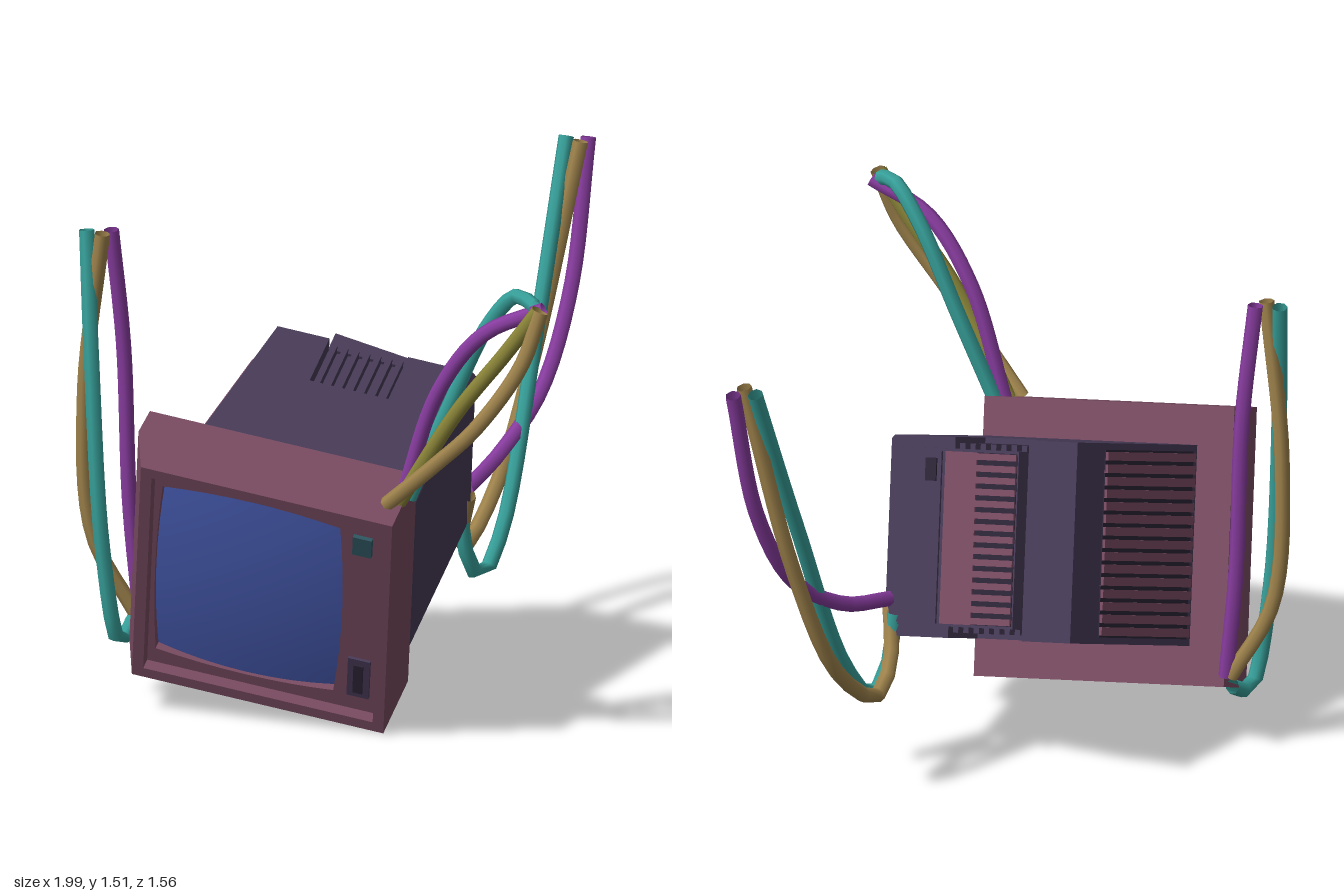
import * as THREE from 'three';

const paint = (color, flat = true, side = THREE.FrontSide) =>
  new THREE.MeshStandardMaterial({ color, flatShading: flat, side });
const DARK = paint(0x463a56), PLUM = paint(0x774a60), DEEP = paint(0x2c2436), TEALBOX = paint(0x2f5560);
const CABLE = {
  gold: paint(0x9f834c, false, THREE.DoubleSide),
  olive: paint(0x8a8438, false, THREE.DoubleSide),
  teal: paint(0x37a09a, false, THREE.DoubleSide),
  purple: paint(0x883c9f, false, THREE.DoubleSide),
};

function add(parent, name, geometry, material) {
  const mesh = new THREE.Mesh(geometry, material);
  mesh.name = name;
  parent.add(mesh);
  return mesh;
}

// Box given by its minimum and maximum corners
function box(parent, name, a, b, material) {
  const mesh = add(parent, name, new THREE.BoxGeometry(b[0] - a[0], b[1] - a[1], b[2] - a[2]), material);
  mesh.position.set((a[0] + b[0]) / 2, (a[1] + b[1]) / 2, (a[2] + b[2]) / 2);
  return mesh;
}

const polygon = (pts) => new THREE.Shape(pts.map(([x, y]) => new THREE.Vector2(x, y)));
const rect = (x0, x1, y0, y1) => polygon([[x0, y0], [x1, y0], [x1, y1], [x0, y1]]);

// Extrusion of a shape between two depths
function slab(shape, z0, z1) {
  const g = new THREE.ExtrudeGeometry(shape, { depth: z1 - z0, bevelEnabled: false, curveSegments: 8 });
  return g.translate(0, 0, z0);
}

// Extrusion along y of a profile given as (x, distance behind the front)
const prism = (pts, halfLength) => slab(polygon(pts), -halfLength, halfLength).rotateX(-Math.PI / 2)
  .applyMatrix4(new THREE.Matrix4());

// The vented wall leans inward toward the rear
const ventWall = (z) => -0.33 + 0.095 * (-z - 0.24) / 0.63;
function leanWall(g) {
  const p = g.attributes.position;
  for (let i = 0; i < p.count; i++) if (p.getX(i) < -0.2) p.setX(i, ventWall(p.getZ(i)));
  g.computeVertexNormals();
  return g;
}

function buildFront(m) {
  // Frame: open ring in front, solid block behind, flared hood on one side
  const ring = rect(-0.4, 0.4, -0.425, 0.425);
  ring.holes.push(rect(-0.365, 0.365, -0.39, 0.39));
  add(m, 'frameRing', slab(ring, -0.08, 0), PLUM);
  box(m, 'frameBlock', [-0.4, -0.425, -0.25], [0.4, 0.425, -0.08], PLUM);
  add(m, 'frameHood', prism([[-0.4, 0], [-0.4, 0.25], [-0.45, 0.25], [-0.455, 0.15]], 0.425), PLUM);

  // Inset bezel with a bowed screen opening
  const bezel = rect(-0.365, 0.365, -0.39, 0.39);
  const hole = new THREE.Path();
  hole.moveTo(-0.34, -0.335);
  hole.quadraticCurveTo(-0.05, -0.375, 0.225, -0.335);
  hole.quadraticCurveTo(0.26, 0, 0.225, 0.33);
  hole.quadraticCurveTo(-0.05, 0.37, -0.34, 0.33);
  hole.quadraticCurveTo(-0.365, 0, -0.34, -0.335);
  bezel.holes.push(hole);
  add(m, 'screenBezel', slab(bezel, -0.08, -0.04), PLUM);

  // Bulging screen
  const g = new THREE.PlaneGeometry(0.61, 0.72, 12, 12);
  const p = g.attributes.position;
  for (let i = 0; i < p.count; i++) {
    const a = p.getX(i) / 0.305, b = p.getY(i) / 0.36;
    p.setZ(i, 0.045 * (1 - 0.5 * a * a - 0.5 * b * b));
  }
  g.computeVertexNormals();
  add(m, 'screen', g, paint(0x4a5fb8, false)).position.set(-0.055, 0, -0.075);

  // Controls beside the screen
  box(m, 'indicator', [0.27, 0.25, -0.04], [0.33, 0.32, -0.025], TEALBOX);
  box(m, 'controlPanel', [0.27, -0.33, -0.04], [0.34, -0.18, -0.03], DARK);
  box(m, 'controlSlot', [0.29, -0.31, -0.03], [0.32, -0.2, -0.024], DEEP);
}

function buildHousing(m) {
  // Main housing, with the two far edges slightly chamfered
  const main = polygon([[-0.3, -0.305], [0.386, -0.305], [0.396, -0.293], [0.396, 0.293], [0.386, 0.305], [-0.3, 0.305]]);
  add(m, 'housing', leanWall(slab(main, -0.67, -0.22)), DARK);

  // Rear section, notched on both sides for the grip recesses
  const half = [[-0.3, 0.305], [-0.07, 0.305], [-0.07, 0.26], [0.18, 0.26], [0.18, 0.305], [0.386, 0.305], [0.396, 0.293]];
  const rear = polygon([...half, ...half.map(([x, y]) => [x, -y]).reverse()]);
  add(m, 'rearHousing', leanWall(slab(rear, -0.87, -0.67)), DARK);
  for (const s of [-1, 1]) {
    for (let i = 0; i < 7; i++) {
      const rib = box(m, 'gripRib', [-0.06, 0.25, -0.862], [-0.042, 0.288, -0.675], DARK);
      rib.position.x += i * 0.035;
      rib.position.y *= s;
    }
  }

  // Louvred panel on the leaning wall
  const lean = Math.atan(0.095 / 0.63);
  const vents = new THREE.Group();
  vents.name = 'wallVents';
  vents.position.set(ventWall(-0.5), 0, -0.5);
  vents.rotation.y = -lean;
  m.add(vents);
  box(vents, 'ventBack', [-0.004, -0.285, -0.23], [0.01, 0.285, 0.23], DEEP);
  for (let i = 0; i < 15; i++) {
    const y = -0.266 + i * 0.038;
    box(vents, 'ventSlat', [-0.014, y - 0.013, -0.23], [0.01, y + 0.013, 0.23], PLUM);
  }
}

function buildRear(m) {
  // Sloping connector block on the back
  add(m, 'rearBlock', prism([[-0.07, 0.86], [0.39, 0.86], [0.39, 0.872], [-0.07, 0.935]], 0.27), DARK);

  // Panels lying on the slope
  const panel = new THREE.Group();
  panel.name = 'rearPanel';
  panel.position.set(-0.07, 0, -0.935);
  panel.rotation.y = -Math.atan(0.063 / 0.46);
  m.add(panel);
  box(panel, 'plainPanel', [0.15, -0.262, -0.008], [0.265, 0.262, 0.01], PLUM);
  box(panel, 'slotBack', [0.005, -0.262, -0.002], [0.15, 0.262, 0.01], DEEP);
  for (let i = 0; i < 15; i++) {
    const y = -0.25 + i * 0.0357;
    box(panel, 'rearSlat', [0.005, y - 0.01, -0.009], [0.15, y + 0.01, 0.01], PLUM);
  }
  box(panel, 'sidePanel', [0.28, -0.262, -0.007], [0.455, 0.262, 0.01], DARK);
  box(panel, 'socket', [0.295, 0.17, -0.012], [0.335, 0.24, 0], DEEP);
}

// Hanging cables: colour, then path points
const CABLES = {
  frontCable: [
    ['gold', [-0.52, 0.82, 0.34], [-0.47, 0.98, 0.51], [-0.42, 1.11, 0.63], [-0.32, 1.31, 0.725], [-0.26, 1.48, 0.75]],
    ['olive', [-0.48, 0.82, 0.35], [-0.4, 1.14, 0.53], [-0.32, 1.33, 0.65], [-0.26, 1.48, 0.74]],
    ['teal', [-0.43, 0.82, 0.34], [-0.34, 1.11, 0.42], [-0.27, 1.38, 0.52], [-0.24, 1.495, 0.62], [-0.24, 1.48, 0.7]],
    ['purple', [-0.46, 0.82, 0.34], [-0.4, 1.18, 0.44], [-0.33, 1.38, 0.57], [-0.22, 1.47, 0.72]],
  ],
  sideCable: [
    ['purple', [-0.71, 1.48, -0.7], [-0.665, 1.1, -0.695], [-0.65, 0.6, -0.685], [-0.63, 0.25, -0.66]],
    ['gold', [-0.755, 1.48, -0.69], [-0.77, 0.95, -0.755], [-0.74, 0.5, -0.75], [-0.64, 0.25, -0.67]],
    ['teal', [-0.765, 1.48, -0.75], [-0.8, 1.1, -0.69], [-0.8, 0.5, -0.64], [-0.73, 0.18, -0.64], [-0.64, 0.22, -0.68]],
  ],
  rearCable: [
    ['purple', [0.29, 0.55, -0.2], [0.5, 0.61, -0.27], [0.7, 0.75, -0.315], [0.86, 1.03, -0.36], [0.975, 1.47, -0.41]],
    ['gold', [0.27, 0.54, -0.17], [0.32, 0.38, -0.26], [0.42, 0.31, -0.34], [0.6, 0.46, -0.4], [0.76, 0.83, -0.415], [0.92, 1.475, -0.385]],
    ['teal', [0.28, 0.51, -0.22], [0.3, 0.34, -0.215], [0.36, 0.25, -0.215], [0.46, 0.37, -0.23], [0.7, 0.93, -0.34], [0.92, 1.475, -0.45]],
  ],
};

export function createModel() {
  const model = new THREE.Group();
  model.name = 'hangingMonitor';

  // Monitor built facing +z, then tipped into its hanging pose
  const monitor = new THREE.Group();
  monitor.name = 'monitor';
  buildFront(monitor);
  buildHousing(monitor);
  buildRear(monitor);
  const right = new THREE.Vector3(0.534, -0.149, 0.832).normalize();
  const front = right.clone().cross(new THREE.Vector3(-0.247, 0.917, 0.317)).normalize();
  const up = front.clone().cross(right);
  monitor.quaternion.setFromRotationMatrix(new THREE.Matrix4().makeBasis(right, up, front));
  monitor.position.set(-0.678, 0.45, -0.05);
  model.add(monitor);

  for (const [name, list] of Object.entries(CABLES)) {
    for (const [tone, ...pts] of list) {
      const curve = new THREE.CatmullRomCurve3(pts.map((p) => new THREE.Vector3(...p)));
      add(model, name, new THREE.TubeGeometry(curve, 20, 0.024, 7), CABLE[tone]);
    }
  }
  return model;
}
